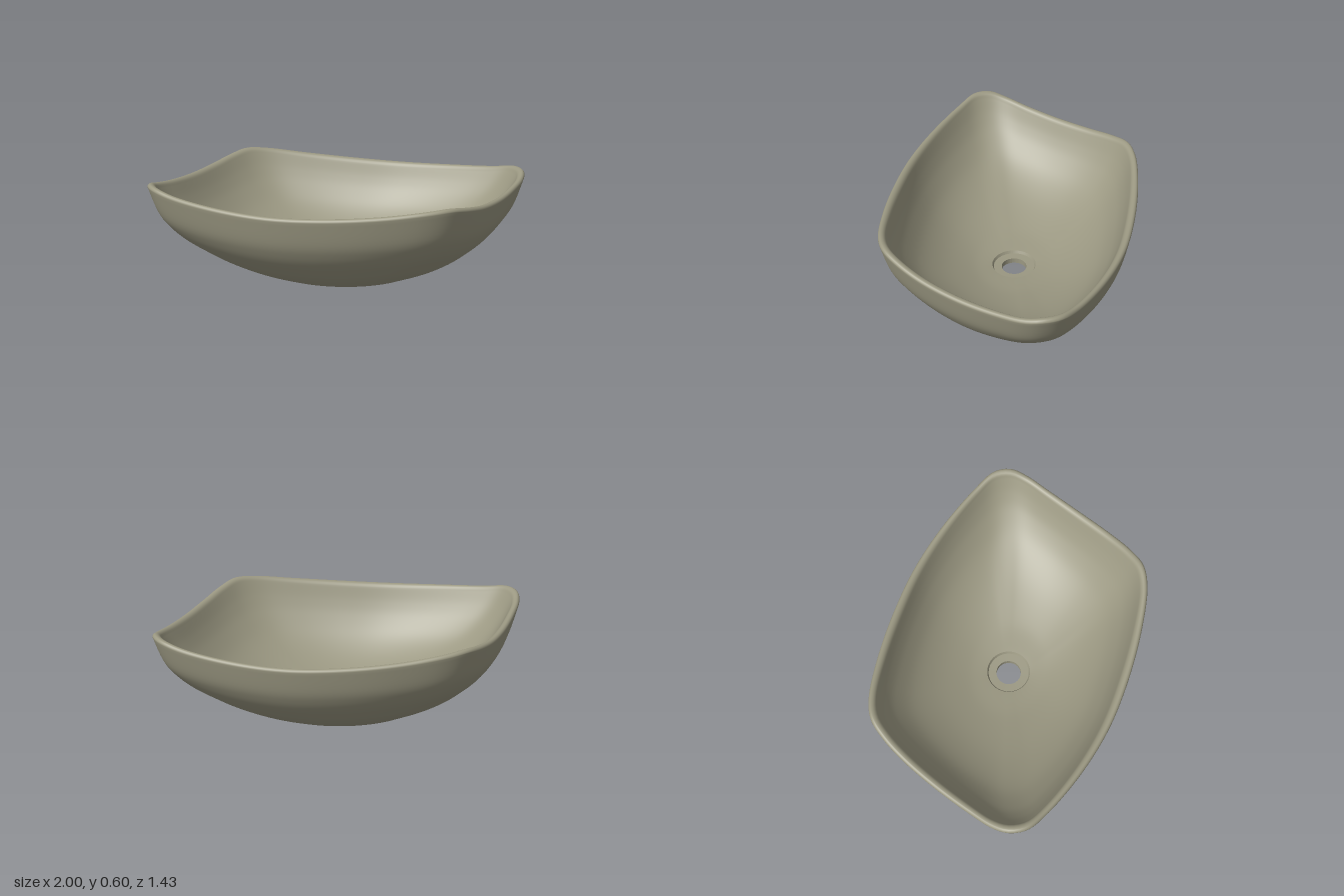
import * as THREE from 'three';
import { toCreasedNormals } from 'three/addons/utils/BufferGeometryUtils.js';

const SEG = 200;
const LIP = 0.018; // outer rounding of the rim
const ROLL_IN = 0.034, ROLL_DROP = 0.04; // softer inner rounding of the rim
const ROLL_START = Math.PI * 0.12; // the inner wall meets the rim at a slant
const FLOOR = 0.05; // height of the inner floor
const DRAIN = 0.128, HOLE = 0.073;
const OVAL_X = 0.955, OVAL_Z = 0.71, SKEW = -0.2; // slanted oval behind the rim outline

// Half of the rim outline as x, z, height; the other half is this turned by 180 degrees
const HALF_RIM = [
  [0.93, 0, 0.516], [0.872, 0.22, 0.529], [0.812, 0.38, 0.555], [0.745, 0.49, 0.574],
  [0.638, 0.562, 0.565], [0.4, 0.637, 0.536], [0.1, 0.692, 0.513], [-0.2, 0.713, 0.504],
  [-0.5, 0.686, 0.516], [-0.8, 0.615, 0.545], [-0.932, 0.558, 0.571], [-0.99, 0.475, 0.571],
  [-1, 0.38, 0.55], [-0.975, 0.22, 0.527],
];

function rimPoints() {
  const at = (x, z, h) => new THREE.Vector3(x, h + 0.042 * z, z); // rim tilts up to the front
  const points = [
    ...HALF_RIM.map(([x, z, h]) => at(x, z, h)),
    ...HALF_RIM.map(([x, z, h]) => at(-x, -z, h)),
  ];
  return new THREE.CatmullRomCurve3(points, true).getSpacedPoints(SEG).slice(0, SEG);
}

// Closed rings joined into a smooth skin
function loft(rings) {
  const position = rings.flat().flatMap((p) => [p.x, p.y, p.z]);
  const index = [];
  for (let r = 0; r < rings.length - 1; r++) {
    for (let i = 0; i < SEG; i++) {
      const j = (i + 1) % SEG;
      const a = r * SEG + i, b = r * SEG + j;
      index.push(a, a + SEG, b, b, a + SEG, b + SEG);
    }
  }
  const geometry = new THREE.BufferGeometry();
  geometry.setAttribute('position', new THREE.Float32BufferAttribute(position, 3));
  geometry.setIndex(index);
  geometry.computeVertexNormals();
  return geometry;
}

// Smooth wall profile: x = spread from the centre shape to the rim, y = share of the height
const profile = (points, n) =>
  new THREE.SplineCurve(points.map(([w, t]) => new THREE.Vector2(w, t))).getPoints(n);

export function createModel() {
  const group = new THREE.Group();
  const material = new THREE.MeshStandardMaterial({ color: 0x9b9882, side: THREE.DoubleSide });
  const add = (name, geometry) => {
    const mesh = new THREE.Mesh(geometry, material);
    mesh.name = name;
    group.add(mesh);
  };

  const rim = rimPoints();
  // Angle of each rim point measured on the slanted oval
  const angles = rim.map((p) => Math.atan2(
    p.z / OVAL_Z - (p.x / OVAL_X) * Math.sin(SKEW), (p.x / OVAL_X) * Math.cos(SKEW)));
  const ellipse = (rx, rz, y, skew, cx = 0, cz = 0) => angles.map((a) =>
    new THREE.Vector3(cx + rx * Math.cos(a), y, cz + rz * Math.sin(a + skew)));
  const circle = (r, y) => ellipse(r, r, y, 0, -0.005, -0.005);
  const foot = ellipse(0.43, 0.312, 0, -0.13, 0, -0.028);
  const inset = (p, d, y) => {
    const s = 1 - d / Math.hypot(p.x, p.z);
    return new THREE.Vector3(p.x * s, y, p.z * s);
  };
  // Walls stay oval low down and flare into the rim's corners towards the top
  const wall = (from, oval, to, points, n) => profile(points, n).map(({ x: w, y: t }) =>
    from.map((a, i) => {
      const p = a.clone().lerp(oval[i], w);
      p.x += (to[i].x - oval[i].x) * w * w;
      p.z += (to[i].z - oval[i].z) * w * w;
      p.y = THREE.MathUtils.lerp(a.y, to[i].y, t);
      return p;
    }));
  // Quarter turn of the rim, from side to crest (a = 0 to PI / 2) on either face
  const roll = (a, width, drop, sign) => rim.map((p) =>
    inset(p, LIP - sign * width * Math.cos(a), p.y - drop * (1 - Math.sin(a))));

  // Outer wall, rounded rim and inner wall as one skin
  const outerTop = roll(0, LIP, LIP, 1);
  const innerTop = roll(ROLL_START, ROLL_IN, ROLL_DROP, -1);
  const drainEdge = circle(DRAIN, FLOOR);
  const rings = wall(foot, ellipse(OVAL_X, OVAL_Z, 0, SKEW), outerTop, [[0, 0], [0.27, 0.11],
    [0.47, 0.22], [0.61, 0.325], [0.755, 0.455], [0.86, 0.59], [0.935, 0.74], [1, 1]], 36);
  for (let k = 1; k <= 5; k++) rings.push(roll((Math.PI * k) / 10, LIP, LIP, 1));
  for (let k = 4; k >= 1; k--) {
    const a = THREE.MathUtils.lerp(ROLL_START, Math.PI / 2, k / 5);
    rings.push(roll(a, ROLL_IN, ROLL_DROP, -1));
  }
  rings.push(...wall(drainEdge, ellipse(OVAL_X - 0.05, OVAL_Z - 0.05, 0, SKEW), innerTop,
    [[0, 0], [0.2, 0.045], [0.42, 0.15], [0.6, 0.28], [0.75, 0.44], [0.87, 0.64],
      [0.945, 0.82], [1, 1]], 40).reverse());
  add('bowl', loft(rings));

  // Recessed drain seat and the hole through the foot
  add('drain', toCreasedNormals(loft([
    drainEdge, circle(DRAIN - 0.008, 0.034), circle(HOLE, 0.032), circle(HOLE, 0),
  ]), 0.6));

  // Flat underside around the hole
  add('foot', loft([circle(HOLE, 0), foot]));

  return group;
}
